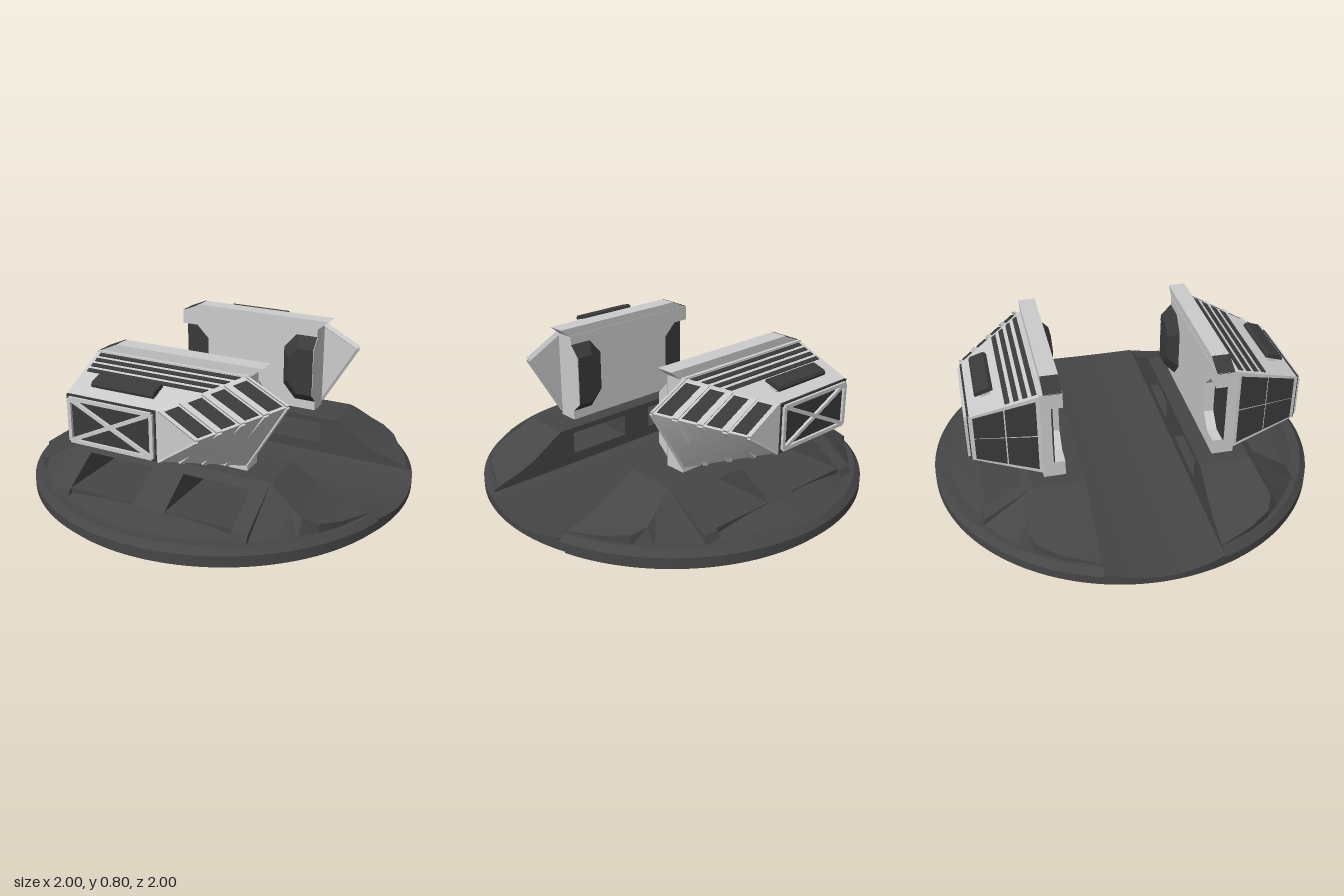
import * as THREE from 'three';
import { toCreasedNormals } from 'three/addons/utils/BufferGeometryUtils.js';
import { ConvexGeometry } from 'three/addons/geometries/ConvexGeometry.js';

const V = (x, y, z) => new THREE.Vector3(x, y, z);
const light = new THREE.MeshStandardMaterial({ color: 0xcccccc });
const dark = new THREE.MeshStandardMaterial({ color: 0x464646 });
const black = new THREE.MeshStandardMaterial({ color: 0x3a3a3a });

// closed solid through rings of equal point count, turned outward by its signed volume
function loft(rings) {
  const tris = [], n = rings[0].length;
  for (let i = 0; i + 1 < rings.length; i++) {
    for (let j = 0; j < n; j++) {
      const k = (j + 1) % n, a = rings[i], b = rings[i + 1];
      tris.push([a[j], a[k], b[k]], [a[j], b[k], b[j]]);
    }
  }
  const first = rings[0], last = rings[rings.length - 1];
  for (let j = 1; j + 1 < n; j++) {
    tris.push([first[0], first[j + 1], first[j]], [last[0], last[j], last[j + 1]]);
  }
  let volume = 0;
  for (const [a, b, c] of tris) volume += a.dot(b.clone().cross(c));
  if (volume < 0) tris.forEach((t) => t.reverse());
  return new THREE.BufferGeometry().setFromPoints(tris.flat());
}

// flat plate of thickness 2t centred on a polygon
function plate(pts, t) {
  const n = pts[1].clone().sub(pts[0]).cross(pts[2].clone().sub(pts[0])).normalize().multiplyScalar(t);
  return new ConvexGeometry(pts.flatMap((p) => [p.clone().add(n), p.clone().sub(n)]));
}

// bar of square section between two points lying in an xy plane
function bar(a, b, w) {
  const s = b.clone().sub(a).cross(V(0, 0, 1)).normalize().multiplyScalar(w / 2);
  return plate([a.clone().add(s), b.clone().add(s), b.clone().sub(s), a.clone().sub(s)], 0.008);
}

function box(x0, x1, y0, y1, z0, z1) {
  return new THREE.BoxGeometry(x1 - x0, y1 - y0, z1 - z0)
    .translate((x0 + x1) / 2, (y0 + y1) / 2, (z0 + z1) / 2);
}

// xy outline extruded from z0 to z1
function slab(points, z0, z1) {
  const shape = new THREE.Shape(points.map(([x, y]) => new THREE.Vector2(x, y)));
  return new THREE.ExtrudeGeometry(shape, { depth: z1 - z0, bevelEnabled: false }).translate(0, 0, z0);
}

// mirror across z with corner order restored
function mirrored(geo) {
  const g = (geo.index ? geo.toNonIndexed() : geo.clone()).scale(1, 1, -1);
  const p = g.attributes.position, a = V(0, 0, 0), b = V(0, 0, 0);
  for (let i = 0; i < p.count; i += 3) {
    a.fromBufferAttribute(p, i + 1);
    b.fromBufferAttribute(p, i + 2);
    p.setXYZ(i + 1, b.x, b.y, b.z);
    p.setXYZ(i + 2, a.x, a.y, a.z);
  }
  return g;
}

export function createModel() {
  const root = new THREE.Group();
  const base = new THREE.Group(), front = new THREE.Group(), back = new THREE.Group();
  base.name = 'base';
  front.name = 'frontHousing';
  back.name = 'backHousing';
  root.add(base, front, back);

  const put = (parent, name, geo, mat) => {
    const mesh = new THREE.Mesh(toCreasedNormals(geo, 0.4), mat);
    mesh.name = name;
    parent.add(mesh);
  };
  const pair = (name, geo, mat, onBase) => {
    put(onBase ? base : front, name, geo, mat);
    put(onBase ? base : back, name, mirrored(geo), mat);
  };

  // dished channel across the middle of the disc
  const inner = 0.285;
  const channel = [];
  for (let i = 0; i <= 24; i++) {
    const z = -inner + (2 * inner * i) / 24, x = Math.sqrt(1 - z * z);
    const y = 0.062 + 0.028 * (z / inner) ** 2;
    channel.push([V(-x, 0.03, z), V(x, 0.03, z), V(x, y, z), V(-x, y, z)]);
  }
  put(base, 'channel', loft(channel), dark);

  // circle segments beside the channel, stacked as [radius, height]
  const segment = (levels) => loft(levels.map(([r, y]) => {
    const a0 = Math.asin(inner / r), ring = [];
    for (let i = 0; i <= 72; i++) {
      const a = a0 + ((Math.PI - 2 * a0) * i) / 72;
      ring.push(V(r * Math.cos(a), y, r * Math.sin(a)));
    }
    return ring;
  }));
  pair('rim', segment([[0.97, 0], [0.97, 0.03], [1, 0.03], [1, 0.075], [0.97, 0.105]]), dark, true);
  pair('apron', segment([[0.93, 0.1], [0.9, 0.112], [0.79, 0.14]]), dark, true);

  // pedestal with two tunnels running through it along z
  const profile = [[0.1, inner], [0.29, inner], [0.29, 0.545], [0.14, 0.78], [0.1, 0.8]];
  const lintel = [[0.26, inner], [0.29, inner], [0.29, 0.545], [0.26, 0.592]];
  const alongX = (pts, x0, x1) => loft([x0, x1].map((x) => pts.map(([y, z]) => V(x, y, z))));
  for (const [x0, x1] of [[-0.52, -0.44], [-0.08, 0.09], [0.44, 0.52]]) {
    pair('pedestalPier', alongX(profile, x0, x1), dark, true);
  }
  for (const [x0, x1] of [[-0.44, -0.08], [0.09, 0.44]]) {
    pair('tunnelLintel', alongX(lintel, x0, x1), dark, true);
    pair('tunnelFloor', box(x0, x1, 0.1, 0.145, inner, 0.77), dark, true);
  }

  // concave flares at both ends of the pedestal
  const curve = [[0.52, 0.29], [0.56, 0.268], [0.63, 0.222], [0.7, 0.182], [0.77, 0.152], [0.84, 0.13], [0.91, 0.11]];
  for (const s of [-1, 1]) {
    pair('pedestalFlare', loft(curve.map(([x, y]) => {
      const zb = Math.min(0.8, Math.sqrt(0.955 ** 2 - x * x));
      const zt = Math.min(0.545 + 0.3 * (x - 0.52), zb);
      return [V(s * x, 0.09, inner), V(s * x, y, inner), V(s * x, y, zt), V(s * x, 0.09, zb)];
    })), dark, true);
  }

  // spine slab with a notch in its inner face at the -x end
  const notch = [[-0.45, 0.68], [-0.36, 0.68], [-0.29, 0.61], [-0.29, 0.44], [-0.36, 0.37], [-0.45, 0.37]];
  pair('spine', box(-0.45, 0.37, 0.29, 0.76, 0.425, 0.478), light);
  pair('spineInnerFace', slab([[-0.45, 0.29], [0.37, 0.29], [0.37, 0.76], [-0.45, 0.76], ...notch], 0.37, 0.425), light);
  pair('notchLining', slab(notch, 0.42, 0.427), black);

  // matching coupling boss at the +x end
  const bossOuter = [[0.37, 0.71], [0.25, 0.71], [0.18, 0.63], [0.18, 0.42], [0.25, 0.34], [0.37, 0.34]];
  const bossInner = [[0.37, 0.65], [0.28, 0.65], [0.225, 0.59], [0.225, 0.46], [0.28, 0.39], [0.37, 0.39]];
  pair('couplingBoss', loft([[bossOuter, 0.37], [bossInner, 0.315]].map(([o, z]) => o.map(([x, y]) => V(x, y, z)))), black);
  pair('couplingEndPlate', plate([V(0.37, 0.34, 0.37), V(0.37, 0.71, 0.37), V(0.37, 0.65, 0.315), V(0.37, 0.39, 0.315)], 0.003), light);

  // top rail with slanted ends
  pair('topRail', slab([[-0.45, 0.755], [0.375, 0.755], [0.43, 0.8], [-0.35, 0.8]], 0.372, 0.46), light);
  pair('railEnd', plate([V(-0.45, 0.757, 0.372), V(-0.45, 0.757, 0.46), V(-0.35, 0.8, 0.46), V(-0.35, 0.8, 0.372)], 0.002), black);

  // tapering body: the same five-sided section at the spine and at the outer face
  const near = [[-0.45, 0.315], [0.37, 0.315], [0.57, 0.65], [0.37, 0.755], [-0.45, 0.755]].map(([x, y]) => V(x, y, 0.475));
  const far = [[-0.4, 0.415], [0.08, 0.415], [0.275, 0.55], [0.09, 0.655], [-0.4, 0.655]].map(([x, y]) => V(x, y, 0.805));
  pair('body', loft([near, far]), light);

  // point on body side k: u along the section edge, v from spine to outer face
  const on = (k, u, v) => {
    const m = (k + 1) % 5;
    return near[k].clone().lerp(near[m], u).lerp(far[k].clone().lerp(far[m], u), v);
  };
  const patch = (k, u0, u1, v0, v1, t) =>
    plate([on(k, u0, v0), on(k, u1, v0), on(k, u1, v1), on(k, u0, v1)], t);

  // louvres along the top
  for (let i = 0; i < 4; i++) {
    pair('louvre', patch(3, 0.03, 0.97, 0.03 + i * 0.125, 0.1 + i * 0.125, 0.004), black);
  }

  // chevron end: dark upper panels between raised ribs
  for (let i = 0; i < 4; i++) {
    pair('finPanel', patch(2, 0.06, 0.94, 0.05 + i * 0.25, 0.2 + i * 0.25, 0.005), black);
  }
  for (let i = 0; i < 5; i++) {
    const v0 = Math.max(0, i * 0.25 - 0.025), v1 = Math.min(1, i * 0.25 + 0.025);
    pair('upperRib', patch(2, 0, 1, v0, v1, 0.012), light);
    pair('lowerRib', patch(1, 0, 1, v0, v1, 0.009), light);
  }

  // two by two dark panels on the -x end
  for (const u of [0.05, 0.51]) {
    for (const v of [0.06, 0.51]) pair('endPanel', patch(4, u, u + 0.44, v, v + 0.43, 0.004), black);
  }

  // cross-braced frame on the outer face
  const [x0, x1, y0, y1, z] = [-0.38, 0.06, 0.43, 0.64, 0.815];
  pair('braceBacking', box(-0.398, 0.078, 0.413, 0.657, 0.8, 0.81), black);
  const corners = [V(x0, y0, z), V(x1, y0, z), V(x1, y1, z), V(x0, y1, z)];
  corners.forEach((c, i) => pair('braceFrame', bar(c, corners[(i + 1) % 4], 0.018), light));
  pair('crossBrace', bar(corners[0], corners[2], 0.018), light);
  pair('crossBrace', bar(corners[1], corners[3], 0.018), light);

  // raised hatch on the top slope
  const tilt = (g) => g.rotateX(0.3).translate(-0.125, 0.682, 0.71);
  pair('hatchStem', tilt(box(-0.15, 0.15, -0.02, 0.03, -0.022, 0.022)), light);
  const lid = [[-0.045, 0.024], [0.045, 0.024], [0.045, 0.036], [0.034, 0.046], [-0.034, 0.046], [-0.045, 0.036]];
  pair('hatchLid', tilt(loft([-0.165, 0.165].map((x) => lid.map(([c, y]) => V(x, y, c))))), black);

  return root;
}
